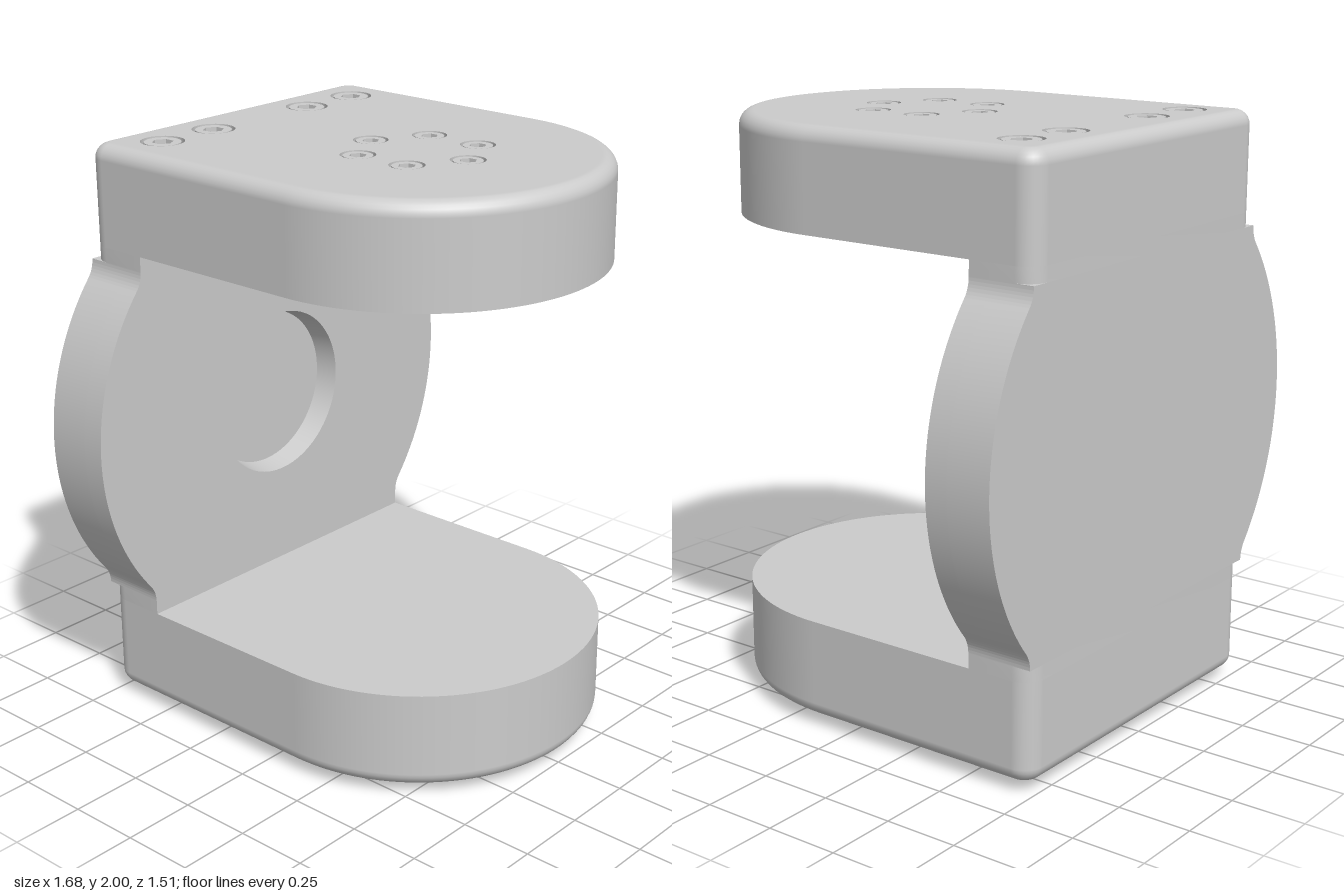
import * as THREE from 'three';
import { toCreasedNormals } from 'three/addons/utils/BufferGeometryUtils.js';

const mat = new THREE.MeshStandardMaterial({ color: 0xcccccc });
const matTwoSided = new THREE.MeshStandardMaterial({ color: 0xcccccc, side: THREE.DoubleSide });

const HALF = 0.63, BACK = 0.755, NOSE = 0.125; // half width, rear face, centre of the round nose
const MID = 1.0175, ARM_H = 0.34, GAP = 0.6425; // mid height, arm thickness, half opening
const ROUND = 0.05, CORNER = 0.07, PLATE = 0.235;

function mesh(name, geometry, parent, material = mat) {
  const m = new THREE.Mesh(geometry, material);
  m.name = name;
  parent.add(m);
  return m;
}

// D-shaped outline in (x, -z), inset by s; t is the direction of the outward normal
function outline(s) {
  const pts = [];
  const arc = (cx, cy, r, from, to, n) => {
    for (let i = 0; i <= n; i++) {
      const t = from + (to - from) * i / n;
      pts.push({ x: cx + r * Math.cos(t), y: cy + r * Math.sin(t), t });
    }
  };
  const c = CORNER - s, cx = HALF - CORNER, cy = BACK - CORNER;
  arc(cx, cy, c, 0, Math.PI / 2, 8);
  arc(-cx, cy, c, Math.PI / 2, Math.PI, 8);
  arc(0, -NOSE, HALF - s, Math.PI, 2 * Math.PI, 56);
  return pts;
}
const outlineShape = s => new THREE.Shape(outline(s).map(p => new THREE.Vector2(p.x, p.y)));

function circlePath(x, y, r, n = 28) {
  const pts = [];
  for (let i = 0; i < n; i++) {
    const a = i / n * 2 * Math.PI;
    pts.push(new THREE.Vector2(x + r * Math.cos(a), y + r * Math.sin(a)));
  }
  return new THREE.Path(pts);
}

const extrude = (shape, depth, curveSegments = 32) =>
  toCreasedNormals(new THREE.ExtrudeGeometry(shape, { depth, bevelEnabled: false, curveSegments }), 0.5);

// Arm side wall, rounded over into the outer face
function armWall() {
  const rings = [[0, 0, 0]];
  for (let i = 0; i <= 6; i++) {
    const a = i / 6 * Math.PI / 2;
    rings.push([ARM_H - ROUND + ROUND * Math.sin(a), ROUND * (1 - Math.cos(a)), a]);
  }
  const pos = [], nor = [], idx = [], n = outline(0).length;
  rings.forEach(([y, inset, a], j) => {
    outline(inset).forEach((p, i) => {
      pos.push(p.x, y, -p.y);
      nor.push(Math.cos(a) * Math.cos(p.t), Math.sin(a), -Math.cos(a) * Math.sin(p.t));
      if (j === 0) return;
      const k = (i + 1) % n, lo = (j - 1) * n, hi = j * n;
      idx.push(lo + i, lo + k, hi + k, lo + i, hi + k, hi + i);
    });
  });
  const g = new THREE.BufferGeometry();
  g.setAttribute('position', new THREE.Float32BufferAttribute(pos, 3));
  g.setAttribute('normal', new THREE.Float32BufferAttribute(nor, 3));
  g.setIndex(idx);
  return g;
}

// Arm with its inner face at y = 0; bores are [x, z, radius] counterbores in the outer face
function makeArm(name, bores) {
  const arm = new THREE.Group();
  arm.name = name;
  mesh('armWall', armWall(), arm);
  mesh('armInnerFace', new THREE.ShapeGeometry(outlineShape(0)).rotateX(Math.PI / 2).scale(1, 1, -1).rotateX(0), arm, matTwoSided);
  const outer = outlineShape(ROUND);
  for (const [x, z, r] of bores) outer.holes.push(circlePath(x, -z, r));
  mesh('armOuterFace', new THREE.ShapeGeometry(outer).rotateX(-Math.PI / 2), arm).position.y = ARM_H;
  for (const [x, z, r] of bores) arm.add(sunkScrew(x, z, r));
  return arm;
}

// Hex socket screw sitting flush in a counterbore
function sunkScrew(x, z, r) {
  const g = new THREE.Group(), depth = 0.05;
  g.name = 'sunkScrew';
  g.position.set(x, ARM_H - depth, z);
  mesh('counterbore', new THREE.CylinderGeometry(r, r, depth, 28, 1, true).translate(0, depth / 2, 0), g, matTwoSided);
  mesh('counterboreFloor', new THREE.CircleGeometry(r, 28).rotateX(-Math.PI / 2), g);
  const head = new THREE.Shape(circlePath(0, 0, r * 0.84).getPoints());
  const hex = circlePath(0, 0, r * 0.5, 6).getPoints().map(p => new THREE.Vector2(-p.y, p.x));
  head.holes.push(new THREE.Path(hex));
  mesh('screwHead', extrude(head, depth - 0.002).rotateX(-Math.PI / 2), g);
  return g;
}

// Rear plate outline: a disc blended by fillets into the straight sides
function plateShape() {
  const R = 0.84, f = 0.1, cx = HALF + f;
  const dy = Math.sqrt((R + f) ** 2 - cx ** 2), a = Math.atan2(dy, cx), P = Math.PI;
  const s = new THREE.Shape();
  s.moveTo(-HALF, dy);
  s.lineTo(HALF, dy);
  s.absarc(cx, dy, f, P, P + a, false);
  s.absarc(0, 0, R, a, -a, true);
  s.absarc(cx, -dy, f, P - a, P, false);
  s.lineTo(-HALF, -dy);
  s.absarc(-cx, -dy, f, 0, a, false);
  s.absarc(0, 0, R, P + a, P - a, true);
  s.absarc(-cx, dy, f, -a, 0, false);
  return { shape: s, dy };
}

function makePlate() {
  const plate = new THREE.Group(), recess = 0.08, r = 0.295;
  plate.name = 'rearPlate';
  plate.position.set(0, MID, -BACK);
  const { shape, dy } = plateShape();
  mesh('plateBack', extrude(shape, PLATE - recess), plate);
  const front = plateShape().shape;
  front.holes.push(circlePath(0, 0, r, 64));
  mesh('plateFront', extrude(front, recess), plate).position.z = PLATE - recess;

  // Tapered wall of the round recess
  const taper = new THREE.CylinderGeometry(r, r - 0.015, recess, 64, 1, true).rotateX(Math.PI / 2);
  mesh('recessWall', taper, plate, matTwoSided).position.z = PLATE - recess / 2;

  // Short necks with rounded rear corners between plate and arms
  const neck = new THREE.Shape(outline(0).slice(0, 18).map(p => new THREE.Vector2(p.x, p.y - BACK)));
  neck.lineTo(-HALF, -PLATE);
  neck.lineTo(HALF, -PLATE);
  const neckGeo = extrude(neck, GAP - dy).rotateX(-Math.PI / 2);
  mesh('upperNeck', neckGeo, plate).position.y = dy;
  mesh('lowerNeck', neckGeo, plate).position.y = -GAP;
  return plate;
}

export function createModel() {
  const model = new THREE.Group();
  model.name = 'forkBracket';

  // Upper arm: four rear screws and a ring of six
  const bores = [-0.455, -0.226, 0.226, 0.455].map(x => [x, -0.58, 0.073]);
  for (let i = 0; i < 6; i++) {
    const a = Math.PI / 2 + i * Math.PI / 3;
    bores.push([0.203 * Math.cos(a), 0.12 + 0.203 * Math.sin(a), 0.058]);
  }
  const upper = makeArm('upperArm', bores);
  upper.position.y = MID + GAP;
  model.add(upper);

  // Lower arm, turned over, with a cover and five raised screws
  const lower = makeArm('lowerArm', []);
  lower.rotation.z = Math.PI;
  lower.position.y = MID - GAP;
  model.add(lower);
  mesh('cover', extrude(outlineShape(0.065), 0.004).rotateX(-Math.PI / 2), lower).position.y = ARM_H;
  const profile = [[0.04, 0], [0.04, 0.022], [0.03, 0.035], [0.02, 0.035], [0.018, 0.016], [0, 0.016]]
    .map(p => new THREE.Vector2(...p));
  const headGeo = toCreasedNormals(new THREE.LatheGeometry(profile, 24), 0.5);
  for (const [x, z] of [[-0.475, -0.465], [0.475, -0.465], [-0.475, 0.13], [0.475, 0.13], [0, 0.6]]) {
    mesh('coverScrew', headGeo, lower, matTwoSided).position.set(x, ARM_H, z);
  }

  model.add(makePlate());
  return model;
}
